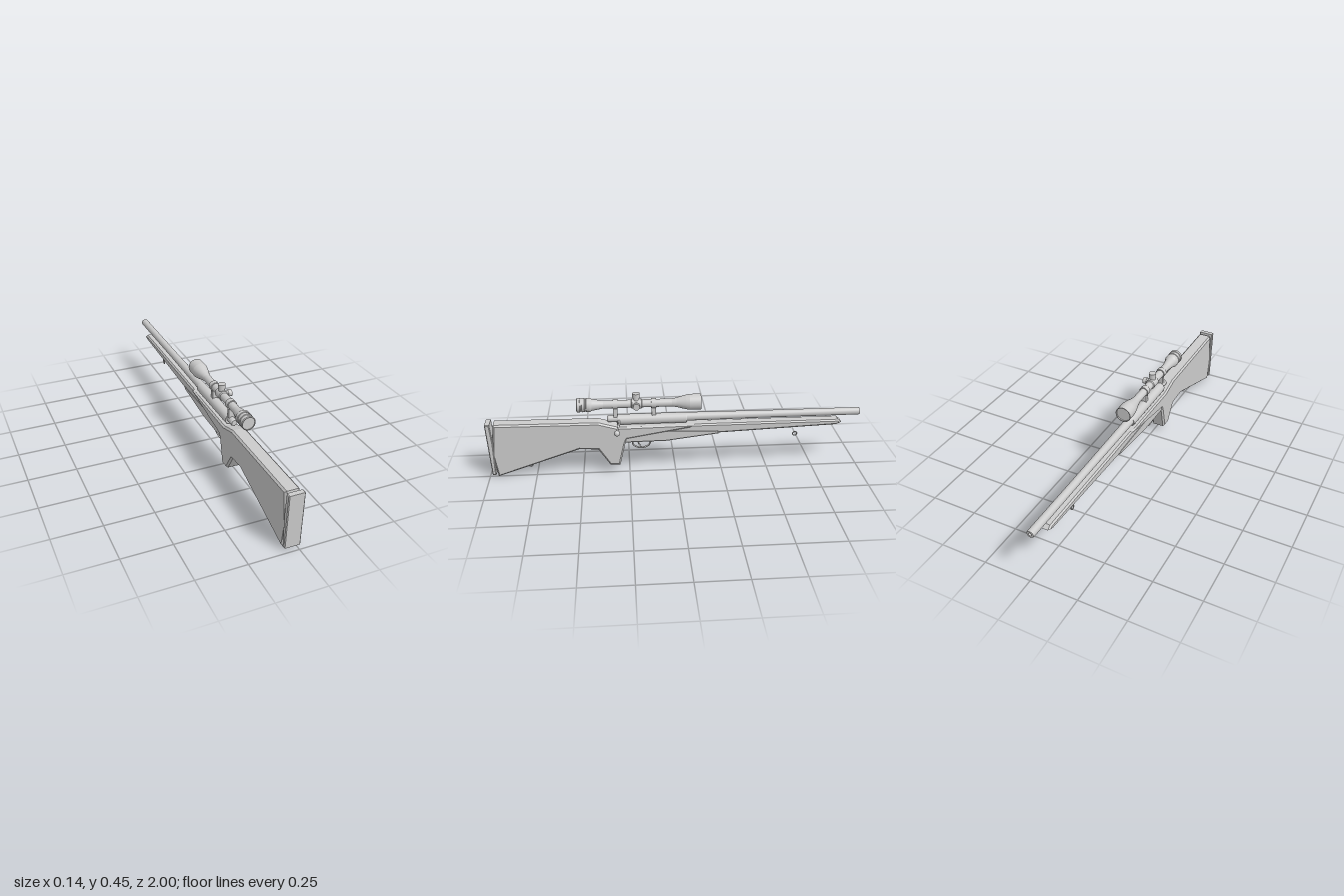
import * as THREE from 'three';

const CX = -0.028; // centre plane of the rifle

export function createModel() {
  const root = new THREE.Group();
  const grey = new THREE.MeshStandardMaterial({ color: 0xcccccc });
  grey.name = 'plain grey';

  const add = (name, geometry, x = CX, y = 0, z = 0) => {
    const mesh = new THREE.Mesh(geometry, grey);
    mesh.name = name;
    mesh.position.set(x, y, z);
    root.add(mesh);
    return mesh;
  };

  // Chamfered slab from a side outline of [z, y] points
  const slab = (name, points, half, bevel) => {
    const shape = new THREE.Shape(points.map(([z, y]) => new THREE.Vector2(-z, y)));
    const depth = 2 * (half - bevel);
    const g = new THREE.ExtrudeGeometry(shape, {
      depth, bevelEnabled: true, bevelSize: bevel, bevelThickness: bevel, bevelOffset: -bevel, bevelSegments: 1,
    });
    g.translate(0, 0, -depth / 2);
    g.rotateY(Math.PI / 2);
    return add(name, g);
  };

  // Turned part along z from [radius, z] points, listed rear to front;
  // each section is its own strip so the steps stay crisp
  const turned = (name, points, y, segments = 32) => {
    const group = new THREE.Group();
    group.name = name;
    group.position.set(CX, y, 0);
    for (let i = 0; i < points.length - 1; i++) {
      const pair = [points[i], points[i + 1]].map(([r, z]) => new THREE.Vector2(r, -z));
      const g = new THREE.LatheGeometry(pair, segments);
      g.rotateX(-Math.PI / 2);
      const mesh = new THREE.Mesh(g, grey);
      mesh.name = name + 'Section';
      group.add(mesh);
    }
    root.add(group);
  };

  const tube = (name, points, radius) => add(name, new THREE.TubeGeometry(
    new THREE.CatmullRomCurve3(points.map((p) => new THREE.Vector3(...p))), 32, radius, 10));

  // Stock
  slab('buttPad', [[1, 0.31], [0.975, 0.31], [0.966, 0.2], [0.966, 0.015], [0.985, 0.017]], 0.041, 0.004);
  slab('buttStock', [
    [0.957, 0.306], [0.41, 0.301], [0.31, 0.272], [-0.1, 0.272], [-0.08, 0.256], [0.26, 0.2],
    [0.27, 0.175], [0.3, 0.048], [0.355, 0.05], [0.415, 0.143], [0.515, 0.15], [0.955, 0.003], [0.975, 0.13],
  ], 0.038, 0.009);
  slab('foreEnd', [
    [0.35, 0.272], [-0.88, 0.272], [-0.9, 0.256], [-0.87, 0.243], [-0.23, 0.217], [0.05, 0.183], [0.35, 0.175],
  ], 0.031, 0.008);
  slab('foreEndPanel', [[0.28, 0.25], [-0.23, 0.235], [-0.23, 0.214], [0.05, 0.18], [0.28, 0.178]], 0.033, 0.006);

  // Barrel with bored muzzle, receiver and bolt
  turned('barrel', [[0.023, -0.03], [0.02, -0.5], [0.02, -0.995], [0.017, -1], [0.008, -1], [0.008, -0.95], [0, -0.95]], 0.308);
  turned('receiver', [[0, 0.31], [0.026, 0.31], [0.028, 0.305], [0.028, -0.055], [0.026, -0.06], [0, -0.06]], 0.303);
  turned('boltShroud', [[0, 0.362], [0.014, 0.362], [0.018, 0.355], [0.018, 0.3]], 0.309);
  tube('boltHandle', [[0.02, 0.308, 0.3], [0.046, 0.299, 0.3], [0.066, 0.283, 0.306], [0.08, 0.262, 0.312]], 0.0055);
  add('boltKnob', new THREE.SphereGeometry(0.0155, 24, 16), 0.0535, 0.26, 0.313);

  // Scope body with ribbed eyepiece and flared objective
  const scopeY = 0.392;
  turned('scope', [
    [0, 0.515], [0.033, 0.515], [0.033, 0.52], [0.037, 0.517], [0.037, 0.502], [0.034, 0.5], [0.034, 0.494],
    [0.037, 0.492], [0.037, 0.478], [0.034, 0.476], [0.034, 0.47], [0.037, 0.468], [0.037, 0.45],
    [0.031, 0.44], [0.024, 0.4], [0.021, 0.38], [0.021, 0.02], [0.025, -0.005], [0.038, -0.055],
    [0.042, -0.075], [0.042, -0.135], [0.038, -0.135], [0.038, -0.128], [0, -0.128],
  ], scopeY);

  // Scope mounts
  for (const z of [0.318, 0.115]) {
    turned('scopeRing', [[0.02, z + 0.013], [0.026, z + 0.013], [0.026, z - 0.013], [0.02, z - 0.013]], scopeY);
    add('scopePost', new THREE.BoxGeometry(0.028, 0.06, 0.022), CX, 0.35, z);
  }

  // Adjustment turrets on top and on the left
  turned('turretCollar', [[0.02, 0.235], [0.026, 0.23], [0.026, 0.18], [0.02, 0.175]], scopeY);
  const turret = new THREE.Group();
  turret.name = 'topTurret';
  for (const [r, h, y] of [[0.016, 0.045, 0.0225], [0.0195, 0.022, 0.047]]) {
    const part = new THREE.Mesh(new THREE.CylinderGeometry(r, r, h, 24), grey);
    part.name = 'turretCap';
    part.position.y = y;
    turret.add(part);
  }
  turret.position.set(CX, scopeY, 0.207);
  root.add(turret);
  const side = turret.clone();
  side.name = 'sideTurret';
  side.rotation.z = -Math.PI / 2;
  side.scale.set(0.92, 0.88, 0.92);
  root.add(side);

  // Trigger, guard and floor plate
  add('floorPlate', new THREE.BoxGeometry(0.03, 0.008, 0.22), CX, 0.18, 0.16);
  const guard = tube('triggerGuard', [
    [0, 0.18, 0.232], [0, 0.152, 0.228], [0, 0.136, 0.205], [0, 0.134, 0.17], [0, 0.145, 0.145], [0, 0.165, 0.134], [0, 0.18, 0.12],
  ], 0.004);
  guard.scale.x = 1.8;
  tube('trigger', [[0, 0.182, 0.195], [0, 0.165, 0.2], [0, 0.152, 0.196], [0, 0.145, 0.188]], 0.004);

  // Sling swivel rings
  for (const [y, z] of [[0.052, 0.783], [0.184, -0.654]]) {
    const ring = add('slingRing', new THREE.TorusGeometry(0.0115, 0.003, 10, 24), CX, y, z);
    ring.rotation.y = Math.PI / 2;
  }

  return root;
}
